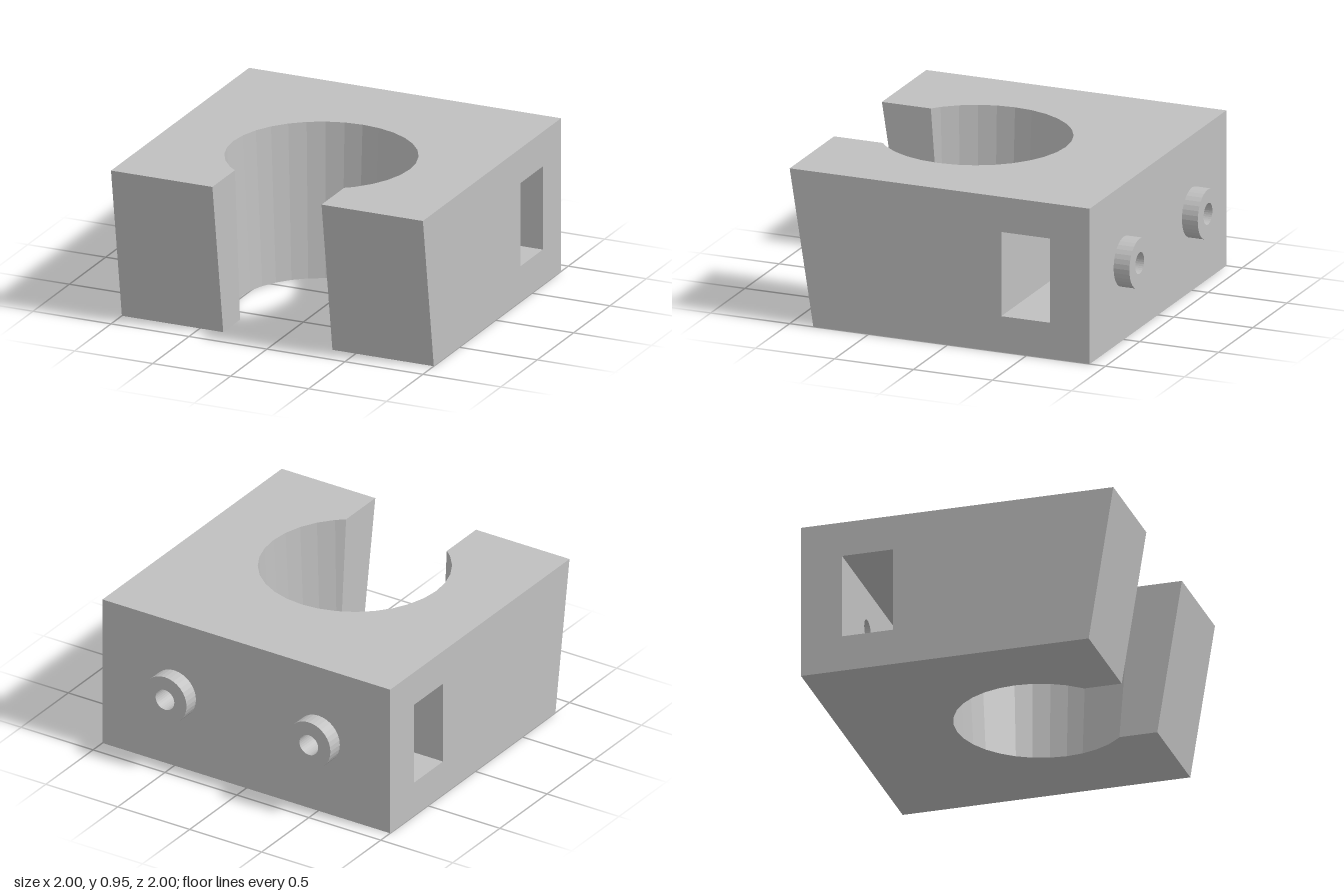
import * as THREE from 'three';

const H = 0.95, BACK = -0.9, MOUTH = 0.35;
const FRONT_LOW = 0.85, FRONT_HIGH = 1;
const BORE_Z = 0.25, BORE_LOW = 0.51, BORE_HIGH = 0.565, SEGMENTS = 32;
const SLOT = { y0: 0.22, y1: 0.735, z0: -0.65, z1: -0.34 };
const BOSS = { x: 0.5, y: 0.48, r: 0.15, hole: 0.065 };

// Front outline [x, z], from the -x corner round the tapered bore to the +x corner
function outline(radius, front) {
  const at = (i) => {
    const a = (i / SEGMENTS) * Math.PI * 2;
    return [-radius * Math.sin(a), BORE_Z + radius * Math.cos(a)];
  };
  const [ax, az] = at(3), [bx, bz] = at(4);
  const mouthZ = az + (bz - az) * ((-MOUTH - ax) / (bx - ax));
  const pts = [[-1, front], [-MOUTH, front], [-MOUTH, mouthZ]];
  for (let i = 4; i <= SEGMENTS - 4; i++) pts.push(at(i));
  pts.push([MOUTH, mouthZ], [MOUTH, front], [1, front]);
  return pts;
}

// Flat-faced wall between two outlines
function ribbon(low, high) {
  const v = [];
  for (let i = 0; i < low.length - 1; i++) {
    const a = [low[i][0], 0, low[i][1]], b = [low[i + 1][0], 0, low[i + 1][1]];
    const c = [high[i + 1][0], H, high[i + 1][1]], d = [high[i][0], H, high[i][1]];
    v.push(...a, ...b, ...c, ...a, ...c, ...d);
  }
  const g = new THREE.BufferGeometry();
  g.setAttribute('position', new THREE.Float32BufferAttribute(v, 3));
  g.computeVertexNormals();
  return g;
}

// Flat panel from a 2D outline, placed by a rule (u, v) -> [x, y, z]
function panel(points, holes, place) {
  const vec = (list) => list.map(([u, v]) => new THREE.Vector2(u, v));
  const shape = new THREE.Shape(vec(points));
  shape.holes = holes.map((h) => new THREE.Path(vec(h)));
  const g = new THREE.ShapeGeometry(shape);
  const p = g.attributes.position;
  for (let i = 0; i < p.count; i++) p.setXYZ(i, ...place(p.getX(i), p.getY(i)));
  g.computeVertexNormals();
  return g;
}

const rect = (u0, v0, u1, v1) => [[u0, v0], [u1, v0], [u1, v1], [u0, v1]];

export function createModel() {
  const model = new THREE.Group();
  const grey = new THREE.MeshStandardMaterial({ color: 0xc0c0c0 });
  grey.name = 'light grey';
  const add = (name, geometry, parent = model) => {
    const mesh = new THREE.Mesh(geometry, grey);
    mesh.name = name;
    parent.add(mesh);
    return mesh;
  };

  // Block: sloped front, mouth and tapered bore, then top and bottom
  const block = new THREE.Group();
  block.name = 'block';
  model.add(block);
  const low = outline(BORE_LOW, FRONT_LOW), high = outline(BORE_HIGH, FRONT_HIGH);
  add('frontAndBore', ribbon(low, high), block);
  const cap = (pts) => [...pts, [1, BACK], [-1, BACK]];
  add('top', panel(cap(high).map(([x, z]) => [x, -z]), [], (u, v) => [u, H, -v]), block);
  add('bottom', panel(cap(low), [], (u, v) => [u, 0, v]), block);

  // Sides with the slot opening
  const { y0, y1, z0, z1 } = SLOT;
  const side = [[BACK, 0], [FRONT_LOW, 0], [FRONT_HIGH, H], [BACK, H]];
  const opening = rect(z0, y0, z1, y1);
  const flip = (pts) => pts.map(([u, v]) => [-u, v]);
  add('leftSide', panel(flip(side), [flip(opening)], (u, v) => [1, v, -u]), block);
  add('rightSide', panel(side, [opening], (u, v) => [-1, v, u]), block);

  // Back, pierced by the two screw holes
  const holes = [-1, 1].map((s) => Array.from({ length: SEGMENTS }, (_, i) => {
    const a = (i / SEGMENTS) * Math.PI * 2;
    return [s * BOSS.x + BOSS.hole * Math.cos(a), BOSS.y + BOSS.hole * Math.sin(a)];
  }));
  add('back', panel(rect(-1, 0, 1, H), holes, (u, v) => [-u, v, BACK]), block);

  // Slot running from side to side
  const slot = new THREE.Group();
  slot.name = 'slot';
  model.add(slot);
  add('slotBack', panel(rect(-1, y0, 1, y1), holes, (u, v) => [u, v, z0]), slot);
  add('slotFront', panel(rect(-1, y0, 1, y1), [], (u, v) => [-u, v, z1]), slot);
  add('slotFloor', panel(rect(-1, -z1, 1, -z0), [], (u, v) => [u, y0, -v]), slot);
  add('slotCeiling', panel(rect(-1, z0, 1, z1), [], (u, v) => [u, y1, v]), slot);

  // Ring bosses whose holes lead into the slot
  const profile = [[BOSS.r, -BACK], [BOSS.r, 1], [BOSS.hole, 1], [BOSS.hole, -z0]]
    .map(([r, y]) => new THREE.Vector2(r, y));
  const ring = new THREE.LatheGeometry(profile, SEGMENTS).rotateX(-Math.PI / 2).toNonIndexed();
  ring.computeVertexNormals();
  for (const s of [-1, 1]) {
    add(s > 0 ? 'leftBoss' : 'rightBoss', ring).position.set(s * BOSS.x, BOSS.y, 0);
  }
  return model;
}
